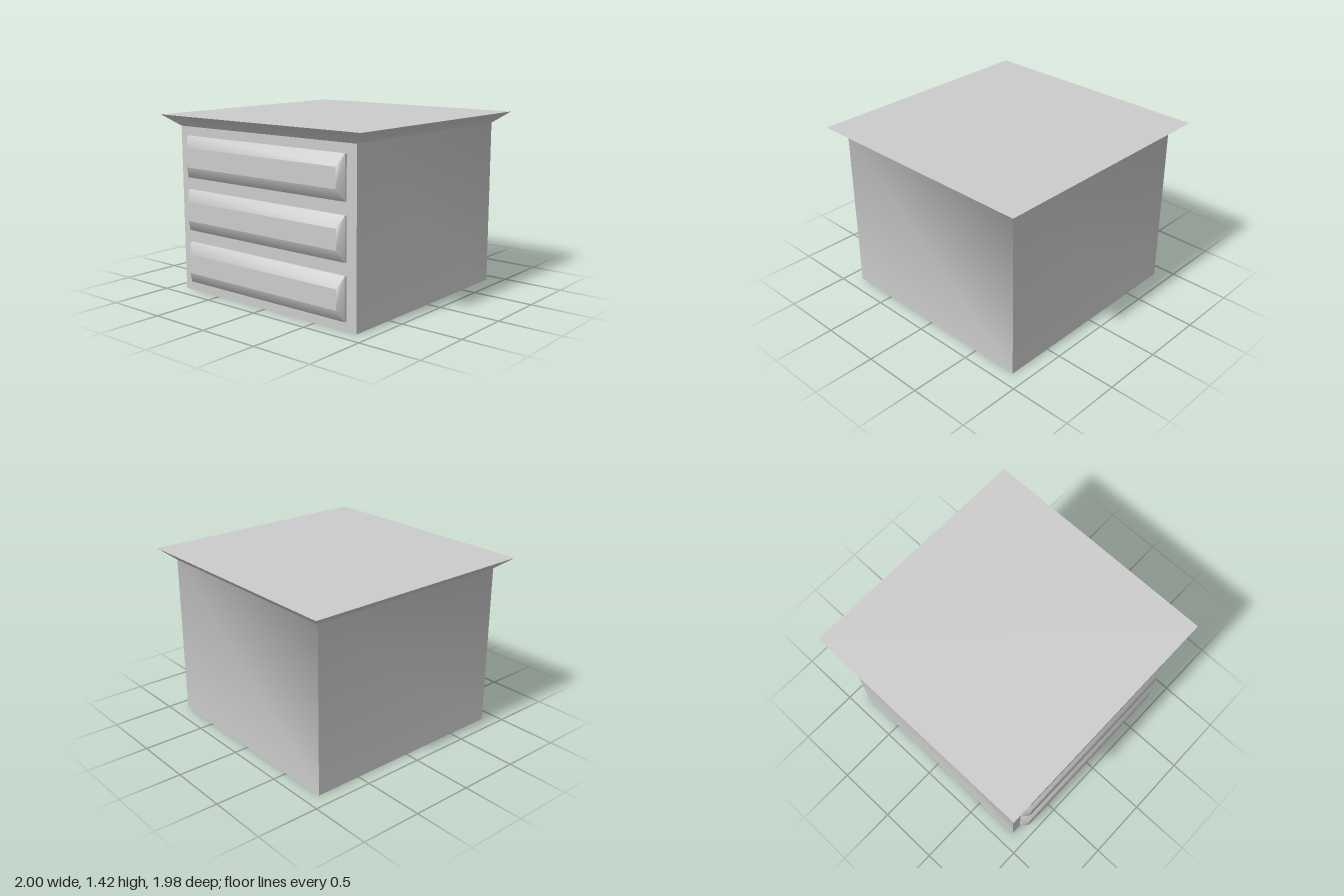
import * as THREE from 'three';
import { mergeGeometries, toCreasedNormals } from 'three/addons/utils/BufferGeometryUtils.js';

const material = new THREE.MeshStandardMaterial({ color: 0xcccccc });
const CORNERS = [[1, 1], [1, -1], [-1, -1], [-1, 1]];

function fromPoints(points) {
  const geometry = new THREE.BufferGeometry().setFromPoints(points);
  geometry.computeVertexNormals();
  return geometry;
}

// Closed solid through rectangular rings [halfX, y, halfZ]: soft sides, flat caps
function loft(rings) {
  const loops = rings.map(([hx, y, hz]) =>
    CORNERS.map(([sx, sz]) => new THREE.Vector3(sx * hx, y, sz * hz)));
  const sides = [];
  for (let i = 0; i < loops.length - 1; i++) {
    for (let k = 0; k < 4; k++) {
      const n = (k + 1) % 4;
      const a = loops[i][k], b = loops[i][n], c = loops[i + 1][n], d = loops[i + 1][k];
      sides.push(a, b, d, b, c, d);
    }
  }
  const [p, q, r, s] = loops[0];
  const [t, u, v, w] = loops[loops.length - 1];
  const caps = [p, r, q, p, s, r, t, u, v, t, v, w];
  return mergeGeometries([toCreasedNormals(fromPoints(sides), 1.2), fromPoints(caps)]);
}

// Keep the front wall evenly flat where it lies in one plane
function flattenFront(geometry, z, topY) {
  const pos = geometry.attributes.position, normal = geometry.attributes.normal;
  for (let i = 0; i < pos.count; i += 3) {
    const tri = [i, i + 1, i + 2];
    if (tri.every((j) => Math.abs(pos.getZ(j) - z) < 1e-4 && pos.getY(j) < topY + 1e-4)) {
      tri.forEach((j) => normal.setXYZ(j, 0, 0, 1));
    }
  }
  return geometry;
}

export function createModel() {
  const group = new THREE.Group();

  // Cabinet body flaring out into the overhanging top
  const bodyGeometry = loft([[0.885, 0, 0.882], [0.885, 1.33, 0.882], [1, 1.42, 0.99]]);
  const body = new THREE.Mesh(flattenFront(bodyGeometry, 0.882, 1.33), material);
  body.name = 'cabinetBody';
  group.add(body);

  // Three bevelled drawer fronts
  const drawerGeometry = loft([[0.797, 0, 0.165], [0.797, 0.02, 0.165], [0.757, 0.068, 0.077]]);
  drawerGeometry.rotateX(Math.PI / 2);
  ['bottomDrawer', 'middleDrawer', 'topDrawer'].forEach((name, i) => {
    const drawer = new THREE.Mesh(drawerGeometry, material);
    drawer.name = name;
    drawer.position.set(0, 0.24 + i * 0.427, 0.882);
    group.add(drawer);
  });

  return group;
}
